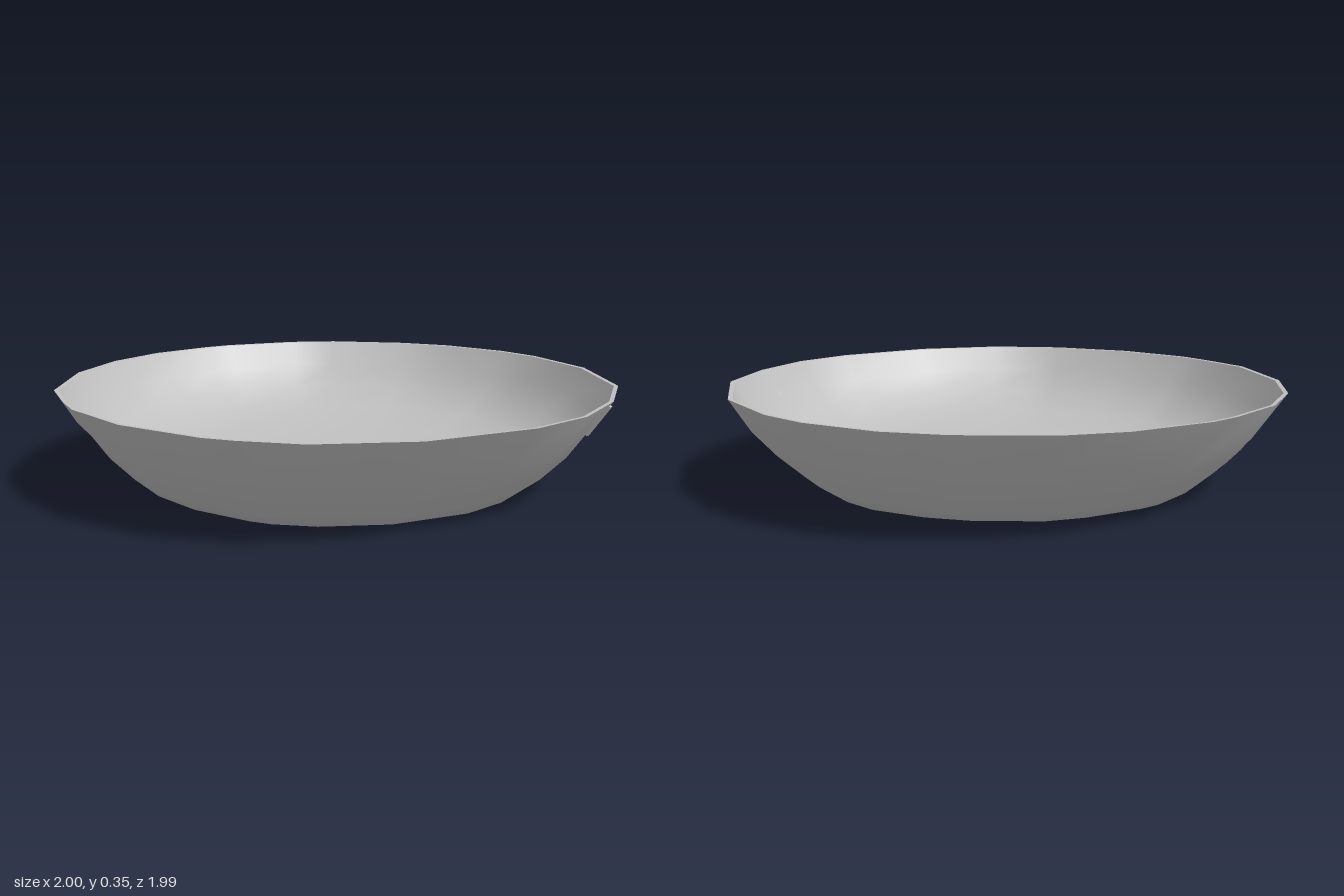
import * as THREE from 'three';

// Uneven rim outline as [x, z], running from +x towards the back
const RIM = [
  [1, -0.03], [0.95, -0.3], [0.83, -0.57], [0.55, -0.84], [0.25, -0.97], [0.07, -1],
  [-0.2, -0.98], [-0.4, -0.91], [-0.67, -0.74], [-0.8, -0.6], [-0.94, -0.34], [-0.97, -0.23],
  [-1, 0.02], [-0.96, 0.27], [-0.84, 0.53], [-0.6, 0.8], [-0.4, 0.9], [-0.28, 0.95],
  [0.01, 0.99], [0.32, 0.94], [0.42, 0.9], [0.6, 0.8], [0.82, 0.56], [0.97, 0.21],
];

// Profiles as [share of rim radius, height, hand-made unevenness]
const OUTSIDE = [[0, 0.02, 0], [0.35, 0.016, 0], [0.65, 0.012, 0], [0.71, 0.016, 0.004],
  [0.76, 0.055, 0.008], [0.845, 0.14, 0.01], [0.92, 0.23, 0.008], [1, 0.346, 0]];
const LIP = [[1, 0.346, 0], [0.985, 0.345, 0]];
const INSIDE = [[0.985, 0.345, 0], [0.93, 0.25, 0.006], [0.85, 0.165, 0.006], [0.74, 0.1, 0.003],
  [0.55, 0.062, 0], [0.3, 0.046, 0], [0, 0.04, 0]];

// Sweeps a profile around the rim outline; the whole dish leans slightly forward and left-down
function sweep(profile) {
  const n = RIM.length, pos = [], index = [];
  profile.forEach(([s, h, wobble], j) => {
    RIM.forEach(([x, z], i) => {
      const k = s + wobble * Math.sin(i * 2.1 + j * 1.3);
      pos.push(x * k, h - 0.006 * x * k - 0.007 * z * k, z * k);
      if (j === profile.length - 1) return;
      const a = j * n + i, b = j * n + (i + 1) % n;
      if (s > 0) index.push(a, b, b + n);
      if (profile[j + 1][0] > 0 || s > 0) {
        if (profile[j + 1][0] > 0) index.push(a, b + n, a + n);
      }
    });
  });
  const g = new THREE.BufferGeometry();
  g.setAttribute('position', new THREE.Float32BufferAttribute(pos, 3));
  g.setIndex(index);
  g.computeVertexNormals();
  // Centre points are coincident, so give each the vertical normal
  const p = g.attributes.position, nor = g.attributes.normal;
  const up = profile === INSIDE ? 1 : -1;
  for (let i = 0; i < p.count; i++) {
    if (Math.hypot(p.getX(i), p.getZ(i)) < 1e-6) nor.setXYZ(i, 0, up, 0);
  }
  return g;
}

export function createModel() {
  const group = new THREE.Group();
  group.name = 'bowl';
  const clay = new THREE.MeshStandardMaterial({ color: 0xc0c0c0 });
  clay.name = 'pale grey';

  const add = (name, geometry) => {
    const mesh = new THREE.Mesh(geometry, clay);
    mesh.name = name;
    group.add(mesh);
    return mesh;
  };
  add('outerShell', sweep(OUTSIDE));
  add('rimLip', sweep(LIP));
  add('innerBowl', sweep(INSIDE));

  // Small raised crease running down the left wall
  const crease = add('wallCrease', new THREE.BoxGeometry(0.13, 0.012, 0.018));
  crease.position.set(0.912, 0.278, -0.272);
  crease.rotation.set(0, 0.1, Math.atan2(0.12, 0.085));
  return group;
}
